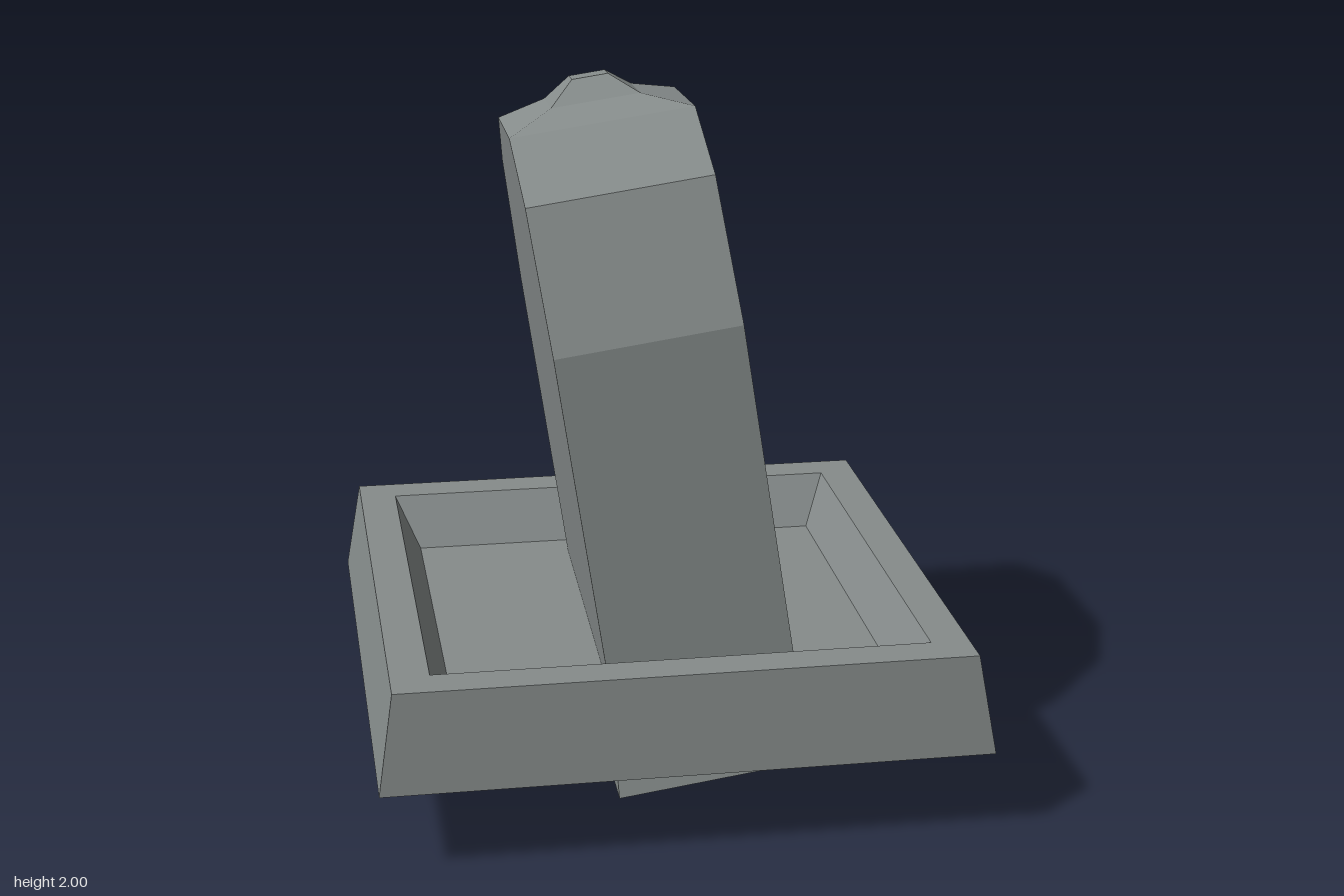
import * as THREE from 'three';

const material = new THREE.MeshStandardMaterial({ color: 0x868c8b, flatShading: true });

// Closed solid through rectangular rings [halfX, halfZ, y, zOffset], bottom to top.
function loftRings(name, rings) {
  const points = [];
  for (const [hx, hz, y, zc = 0] of rings) {
    for (const [sx, sz] of [[-1, 1], [1, 1], [1, -1], [-1, -1]]) {
      points.push([sx * hx, y, sz * hz + zc]);
    }
  }
  const positions = [];
  const quad = (a, b, c, d) => {
    for (const i of [a, b, c, a, c, d]) positions.push(...points[i]);
  };
  for (let r = 0; r < rings.length - 1; r++) {
    for (let i = 0; i < 4; i++) {
      const a = r * 4 + i;
      const b = r * 4 + ((i + 1) % 4);
      quad(a, b, b + 4, a + 4);
    }
  }
  const last = (rings.length - 1) * 4;
  quad(3, 2, 1, 0);
  quad(last, last + 1, last + 2, last + 3);
  const geometry = new THREE.BufferGeometry();
  geometry.setAttribute('position', new THREE.Float32BufferAttribute(positions, 3));
  geometry.computeVertexNormals();
  const mesh = new THREE.Mesh(geometry, material);
  mesh.name = name;
  return mesh;
}

export function createModel() {
  const group = new THREE.Group();
  group.name = 'leaningGravestone';

  // Square base with sloped sides and a sunken bed
  group.add(loftRings('base', [
    [0.855, 0.855, 0.236],
    [0.81, 0.81, 0.516],
    [0.70, 0.70, 0.516],
    [0.63, 0.63, 0.371, 0.03],
  ]));

  // Headstone: flared foot, straight body, faceted shoulders and a small peaked cap
  const stone = loftRings('headstone', [
    [0.291, 0.624, 0],
    [0.263, 0.562, 0.3],
    [0.263, 0.56, 1.26],
    [0.263, 0.434, 1.658],
    [0.263, 0.216, 1.819],
    [0.128, 0.11, 1.866],
    [0.052, 0.045, 1.927],
  ]);

  // Lean of the headstone, which passes through the base
  const up = new THREE.Vector3(-0.144, 0.986, -0.08).normalize();
  const side = new THREE.Vector3().crossVectors(up, new THREE.Vector3(-0.032, 0.076, 0.997)).normalize();
  const front = new THREE.Vector3().crossVectors(side, up);
  stone.quaternion.setFromRotationMatrix(new THREE.Matrix4().makeBasis(side, up, front));
  stone.position.set(0.129, 0.091, 0.0725);
  group.add(stone);

  return group;
}
